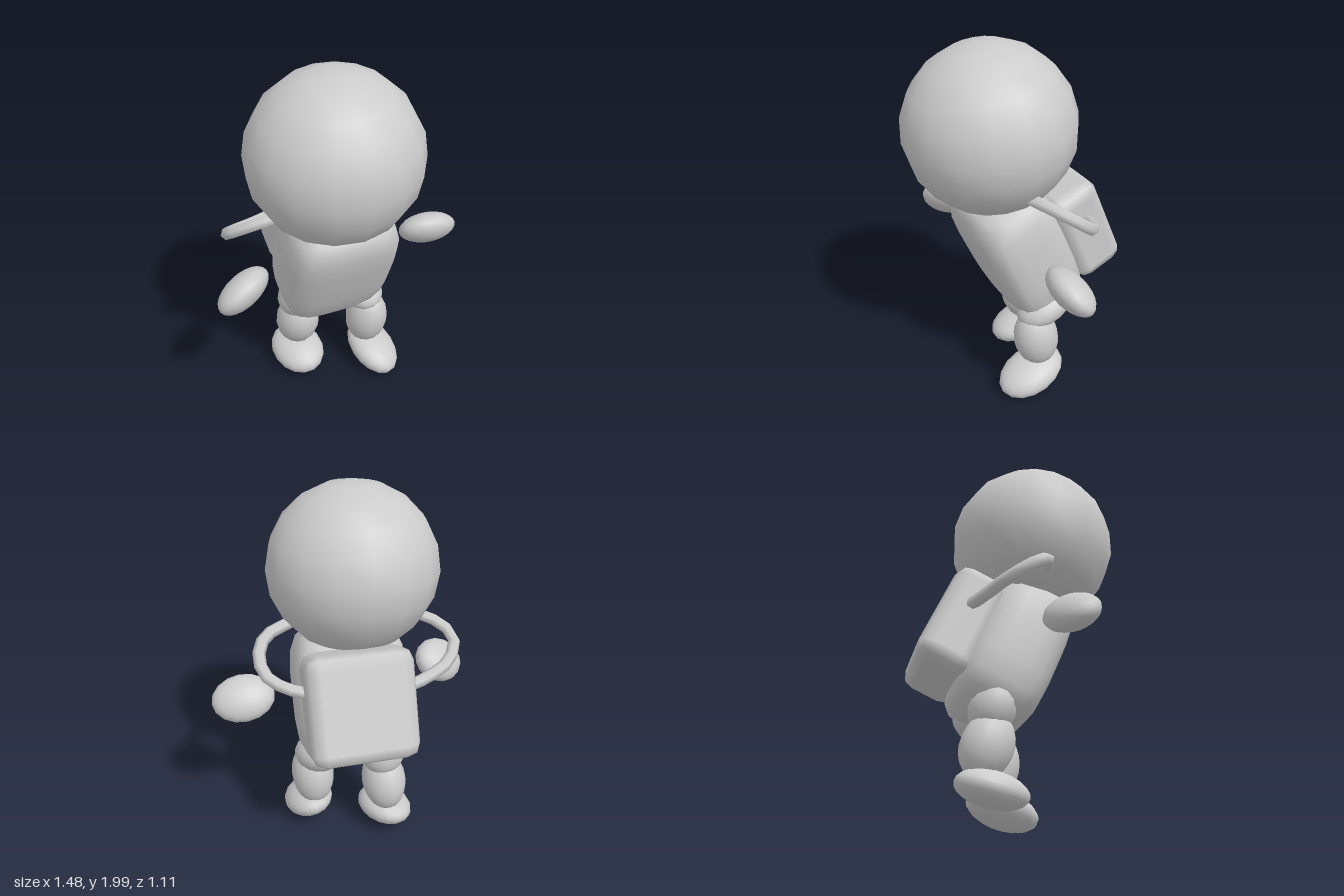
import * as THREE from 'three';
import { RoundedBoxGeometry } from 'three/addons/geometries/RoundedBoxGeometry.js';
import { mergeVertices } from 'three/addons/utils/BufferGeometryUtils.js';

const grey = new THREE.MeshStandardMaterial({ color: 0xcccccc });
const deg = Math.PI / 180;
const LEAN = 23.5, TURN = -9.3; // the body leans forward and turns a little

// Adds a named mesh, rotated in degrees: turn (y), then roll (z), then pitch (x).
function add(group, name, geometry, position, [rx, ry, rz] = [0, 0, 0]) {
  const mesh = new THREE.Mesh(geometry, grey);
  mesh.name = name;
  mesh.position.set(...position);
  mesh.rotation.set(rx * deg, ry * deg, rz * deg, 'YZX');
  group.add(mesh);
  return mesh;
}

function ellipsoid(rx, ry, rz, around = 16, rows = 12) {
  return new THREE.SphereGeometry(1, around, rows).scale(rx, ry, rz);
}

// Soft box: a subdivided cube pushed onto a superellipsoid with half sizes a, b, c.
function softBox(a, b, c, power) {
  let g = new THREE.BoxGeometry(2, 2, 2, 6, 6, 6);
  g.deleteAttribute('normal');
  g.deleteAttribute('uv');
  g = mergeVertices(g);
  const p = g.attributes.position;
  const v = new THREE.Vector3();
  for (let i = 0; i < p.count; i++) {
    v.fromBufferAttribute(p, i);
    const k = (Math.abs(v.x) ** power + Math.abs(v.y) ** power + Math.abs(v.z) ** power) ** (-1 / power);
    p.setXYZ(i, v.x * k * a, v.y * k * b, v.z * k * c);
  }
  g.computeVertexNormals();
  return g;
}

function strap(points) {
  const curve = new THREE.CatmullRomCurve3(points.map(p => new THREE.Vector3(...p)));
  return new THREE.TubeGeometry(curve, 10, 0.034, 6);
}

export function createModel() {
  const model = new THREE.Group();
  model.name = 'backpackFigure';

  // Head and body
  add(model, 'head', ellipsoid(0.457, 0.447, 0.457, 16, 10), [-0.065, 1.553, 0.115], [8, TURN, 3]);
  add(model, 'torso', softBox(0.31, 0.4, 0.235, 4), [0, 0.86, 0], [LEAN, TURN, 0]);

  // Backpack with a strap looping out on each side
  add(model, 'backpack', new RoundedBoxGeometry(0.57, 0.58, 0.3, 1, 0.075), [0.06, 0.966, -0.29], [LEAN, TURN, 0]);
  add(model, 'leftStrap', strap([
    [0.26, 1.05, -0.24], [0.39, 1.08, -0.19], [0.49, 1.13, -0.1],
    [0.5, 1.2, -0.01], [0.44, 1.26, 0.07], [0.27, 1.29, 0.13]]), [0, 0, 0]);
  add(model, 'rightStrap', strap([
    [-0.2, 1.03, -0.31], [-0.33, 1.035, -0.28], [-0.49, 1.07, -0.22],
    [-0.57, 1.14, -0.11], [-0.48, 1.22, 0], [-0.26, 1.28, 0.08]]), [0, 0, 0]);

  // Floating hands
  add(model, 'leftHand', ellipsoid(0.172, 0.085, 0.132), [0.573, 0.89, 0.108], [-45, -10, -6]);
  add(model, 'rightHand', ellipsoid(0.165, 0.085, 0.132), [-0.587, 0.89, 0.06], [-45, 15, 18]);

  // Left leg, stepping forward
  add(model, 'leftThigh', ellipsoid(0.132, 0.1, 0.185), [0.205, 0.525, -0.05], [20, 0, 0]);
  add(model, 'leftShin', ellipsoid(0.122, 0.19, 0.13), [0.22, 0.325, 0.025], [12, 0, 0]);
  add(model, 'leftFoot', ellipsoid(0.143, 0.088, 0.205), [0.238, 0.105, 0.075], [17, 0, -12]);

  // Right leg, trailing behind
  add(model, 'rightThigh', ellipsoid(0.132, 0.15, 0.12), [-0.14, 0.52, -0.15], [25, 0, 0]);
  add(model, 'rightShin', ellipsoid(0.125, 0.18, 0.135), [-0.143, 0.32, -0.18], [22, 0, 0]);
  add(model, 'rightFoot', ellipsoid(0.15, 0.09, 0.192), [-0.162, 0.105, -0.16], [9, 0, 10]);

  return model;
}
